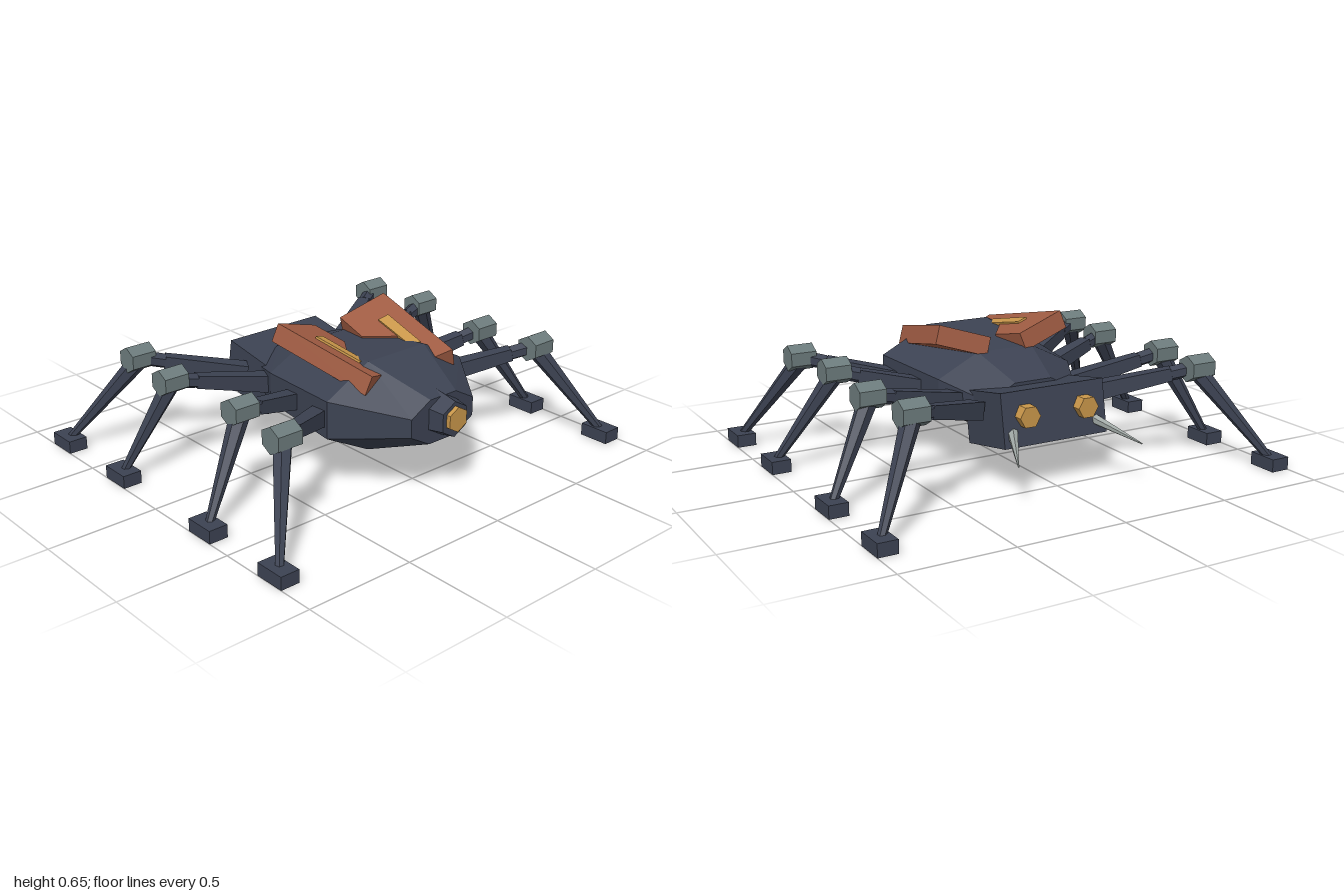
import * as THREE from 'three';

const mat = (name, color) => {
  const m = new THREE.MeshStandardMaterial({ color });
  m.name = name;
  return m;
};

// Split vertices so every facet is shaded flat
function flat(geo) {
  const g = geo.index ? geo.toNonIndexed() : geo;
  g.computeVertexNormals();
  return g;
}

// Octagonal loft along z; each ring is [z, halfWidth, bottomY, topY]
function octagonLoft(rings) {
  const pos = [], idx = [], n = 8, k = Math.cos(Math.PI / n);
  for (const [z, hw, y0, y1] of rings) {
    for (let i = 0; i < n; i++) {
      const a = ((i + 0.5) / n) * Math.PI * 2;
      pos.push((hw * Math.cos(a)) / k, (y0 + y1) / 2 + (((y1 - y0) / 2) * Math.sin(a)) / k, z);
    }
  }
  for (let r = 0; r < rings.length - 1; r++) {
    for (let i = 0; i < n; i++) {
      const a = r * n + i, b = r * n + ((i + 1) % n);
      idx.push(a, b, b + n, a, b + n, a + n);
    }
  }
  const last = (rings.length - 1) * n;
  for (let i = 1; i < n - 1; i++) {
    idx.push(0, i + 1, i, last, last + i, last + i + 1);
  }
  const g = new THREE.BufferGeometry();
  g.setAttribute('position', new THREE.Float32BufferAttribute(pos, 3));
  g.setIndex(idx);
  return flat(g);
}

export function createModel() {
  const root = new THREE.Group();
  root.name = 'spiderWalker';
  const hull = mat('darkHull', 0x3c4252);
  const steel = mat('jointSteel', 0x6c7b7c);
  const rust = mat('rustArmour', 0xa05c43);
  const gold = mat('goldLight', 0xc8964a);
  const fangMat = mat('paleFang', 0x9da5a2);

  const add = (name, geo, material, parent = root) => {
    const m = new THREE.Mesh(geo, material);
    m.name = name;
    parent.add(m);
    return m;
  };

  // Tapered prism between two points
  const rod = (name, p, q, r0, r1, sides, material, parent, spin = 0) => {
    const a = new THREE.Vector3(...p), b = new THREE.Vector3(...q);
    const dir = b.clone().sub(a);
    const g = new THREE.CylinderGeometry(r1, r0, dir.length(), sides);
    g.rotateY(spin);
    const m = add(name, flat(g), material, parent);
    // Keep the cross-section upright: local z follows world up
    const y = dir.normalize();
    const up = Math.abs(y.y) > 0.95 ? new THREE.Vector3(0, 0, 1) : new THREE.Vector3(0, 1, 0);
    const x = new THREE.Vector3().crossVectors(y, up).normalize();
    const z = new THREE.Vector3().crossVectors(x, y);
    m.quaternion.setFromRotationMatrix(new THREE.Matrix4().makeBasis(x, y, z));
    m.position.copy(a.add(b).multiplyScalar(0.5));
    return m;
  };

  // Main body
  add('abdomen', octagonLoft([
    [-0.3, 0.22, 0.185, 0.42],
    [-0.06, 0.335, 0.174, 0.512],
    [0.385, 0.39, 0.15, 0.556],
    [0.67, 0.18, 0.25, 0.45],
  ]), hull);

  // Head block, pitched down
  const head = add('head', new THREE.BoxGeometry(0.51, 0.235, 0.31), hull);
  head.position.set(0, 0.29, -0.322);
  head.rotation.x = THREE.MathUtils.degToRad(10);

  // Nozzle and its light
  rod('nozzle', [0, 0.365, 0.56], [0, 0.365, 0.74], 0.115, 0.08, 6, hull, root);
  rod('nozzleLight', [0, 0.37, 0.72], [0, 0.37, 0.76], 0.056, 0.056, 6, gold, root);

  // Armour plates lie on a sloping plane y = f(x, z)
  const slopeX = 0.337, slopeZ = -0.157, thickness = 0.085;
  const outline = [[0.31, -0.03], [0.075, -0.065], [0.05, 0.11], [0.165, 0.26], [0.15, 0.46], [0.235, 0.49]];
  const strip = [[0.215, 0.105], [0.165, 0.095], [0.135, 0.34], [0.18, 0.35]];
  const plate = (name, pts, s, low, high, material) => {
    const shape = new THREE.Shape(pts.map(([x, z]) => new THREE.Vector2(s * x, -z)));
    const g = new THREE.ExtrudeGeometry(shape, { depth: high - low, bevelEnabled: false });
    g.translate(0, 0, low);
    const a = s * slopeX, y0 = 0.647 - slopeX * 0.31 + slopeZ * 0.03;
    g.applyMatrix4(new THREE.Matrix4().set(
      1, 0, -a * 0.94, 0,
      a, -slopeZ, 0.94, y0,
      0, -1, -slopeZ * 0.94, 0,
      0, 0, 0, 1));
    add(name, flat(g), material);
  };

  // Per leg: hip, knee and foot positions
  const legs = [
    { name: 'frontLeg', hip: [0.31, 0.33, 0.28], knee: [0.74, 0.44, 0.53], foot: 0.765 },
    { name: 'midFrontLeg', hip: [0.28, 0.33, 0.095], knee: [0.705, 0.44, 0.215], foot: 0.315 },
    { name: 'midBackLeg', hip: [0.27, 0.33, -0.135], knee: [0.745, 0.44, -0.225], foot: -0.31 },
    { name: 'backLeg', hip: [0.285, 0.33, -0.305], knee: [0.705, 0.44, -0.54], foot: -0.763 },
  ];

  for (const s of [1, -1]) {
    const side = s > 0 ? 'left' : 'right';
    plate(side + 'ArmourPlate', outline, s, -thickness, 0, rust);
    plate(side + 'ArmourStrip', strip, s, -0.01, 0.009, gold);

    // Eyes and fangs on the head
    rod(side + 'Eye', [s * 0.145, 0.33, -0.45], [s * 0.145, 0.33, -0.517], 0.05, 0.05, 6, gold, root, Math.PI / 6);
    rod(side + 'Fang', [s * 0.2, 0.265, -0.46], [s * 0.305, 0.19, -0.685], 0.025, 0.003, 6, fangMat, root);

    for (const { name, hip, knee, foot } of legs) {
      const leg = new THREE.Group();
      leg.name = side + name[0].toUpperCase() + name.slice(1);
      root.add(leg);
      const h = [s * hip[0], hip[1], hip[2]], k = [s * knee[0], knee[1], knee[2]];
      const mid = h.map((v, i) => v + (k[i] - v) * 0.76);
      rod('thigh', h, mid, 0.056, 0.04, 4, hull, leg, Math.PI / 4);
      rod('thighCollar', mid, k, 0.034, 0.034, 6, hull, leg);
      rod('knee', [k[0] - 0.06, k[1], k[2]], [k[0] + 0.06, k[1], k[2]], 0.06, 0.06, 6, steel, leg);
      rod('shin', [k[0], 0.425, k[2]], [s * 0.95, 0.045, foot], 0.043, 0.018, 6, hull, leg);
      add('foot', new THREE.BoxGeometry(0.088, 0.058, 0.142), hull, leg).position.set(s * 0.956, 0.029, foot);
    }
  }
  return root;
}
